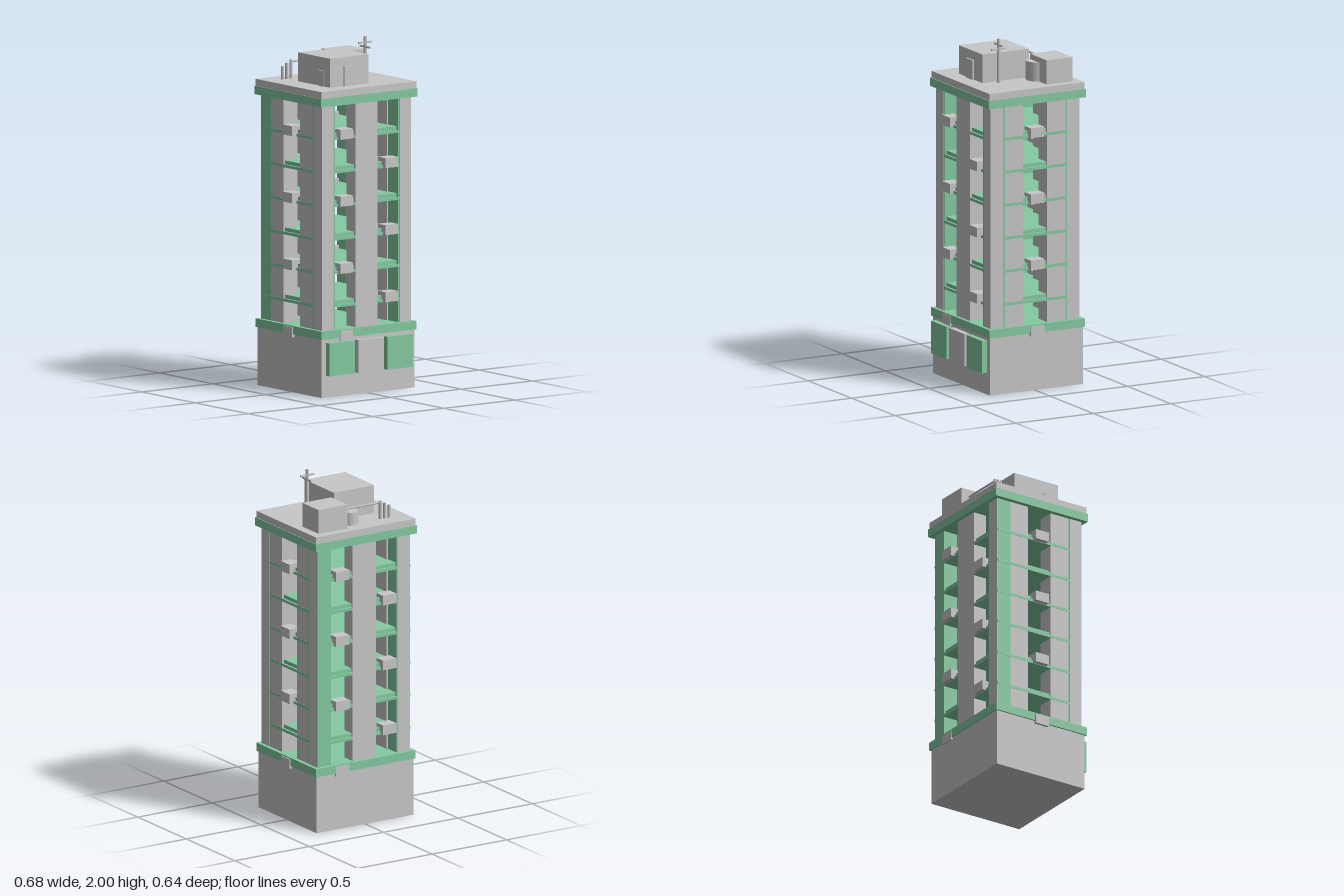
import * as THREE from 'three';

export function createModel() {
  const model = new THREE.Group();
  model.name = 'towerBlock';
  const grey = new THREE.MeshStandardMaterial({ color: 0xc8c8c8 });
  grey.name = 'concrete grey';
  const green = new THREE.MeshStandardMaterial({ color: 0x84caa2 });
  green.name = 'trim green';
  const ZC = -0.01; // depth centre of the tower

  function add(name, geometry, material, x, y, z) {
    const mesh = new THREE.Mesh(geometry, material);
    mesh.name = name;
    mesh.position.set(x, y, z);
    model.add(mesh);
    return mesh;
  }
  // Box given by its limits on each axis
  function box(name, material, x0, x1, y0, y1, z0, z1) {
    return add(name, new THREE.BoxGeometry(x1 - x0, y1 - y0, z1 - z0), material,
      (x0 + x1) / 2, (y0 + y1) / 2, (z0 + z1) / 2);
  }
  // Box centred on the tower axis, given by half width and half depth
  const plate = (name, material, hx, hz, y0, y1) =>
    box(name, material, -hx, hx, y0, y1, ZC - hz, ZC + hz);
  // Upright cylinder
  const post = (name, x, z, r, y0, y1, sides) =>
    add(name, new THREE.CylinderGeometry(r, r, y1 - y0, sides), grey, x, (y0 + y1) / 2, z);

  // Base, ledge, cornice and roof
  plate('base', grey, 0.326, 0.3, 0, 0.332);
  plate('ledge', green, 0.335, 0.308, 0.332, 0.38);
  plate('cornice', green, 0.339, 0.3125, 1.658, 1.706);
  plate('roofSlab', grey, 0.335, 0.3075, 1.706, 1.745);

  // Entrance panels
  box('leftShopPanel', green, 0.113, 0.293, 0.125, 0.312, 0.28, 0.322);
  box('rightShopPanel', green, -0.296, -0.116, 0.125, 0.312, 0.28, 0.322);
  box('entrance', grey, -0.09, 0.09, 0.125, 0.312, 0.28, 0.322);

  // Corner pillars: green core with a grey skin on the outer faces
  const W = 0.312, D = 0.286, Y0 = 0.38, Y1 = 1.658;
  const tall = Y1 - Y0, midY = (Y0 + Y1) / 2;
  for (const sx of [-1, 1]) for (const sz of [-1, 1]) {
    add('cornerPillar', new THREE.BoxGeometry(0.091, tall, 0.091), green,
      sx * (W - 0.0455), midY, ZC + sz * (D - 0.0455));
    const skinX = sx < 0 && sz < 0 ? -0.0015 : 0.0015;
    const skinZ = sx > 0 && sz < 0 ? -0.0015 : 0.0015;
    add('pillarSkin', new THREE.BoxGeometry(0.08, tall, 0.08), grey,
      sx * (W - 0.04 + skinX), midY, ZC + sz * (D - 0.04 + skinZ));
  }

  // Middle columns on front and back, pairs of wall panels on both sides
  for (const s of [-1, 1]) {
    add('middleColumn', new THREE.BoxGeometry(0.155, tall, 0.083), grey,
      -0.002, midY, ZC + s * (D + 0.002 - 0.0415));
    for (const t of [-1, 1]) {
      add('sidePanel', new THREE.BoxGeometry(0.1, tall, 0.117), grey,
        s * (W - 0.05), midY, ZC + t * 0.1365);
    }
  }

  // Floors with a thin edge band, and cooling units on alternating bays
  const unit = (x, y, z, alongX) => add('coolingUnit',
    new THREE.BoxGeometry(alongX ? 0.088 : 0.072, 0.057, alongX ? 0.072 : 0.088), grey, x, y + 0.031, z);
  for (let i = 0; i < 7; i++) {
    const y = 0.313 + i * 0.191;
    if (i > 0) {
      plate('floor', green, W - 0.012, D - 0.012, y, y + 0.037);
      plate('floorBand', green, W + 0.001, D + 0.001, y, y + 0.016);
    }
    const side = i % 2 ? 1 : -1;
    unit(side * 0.158, y, ZC + D - 0.01, true);
    unit(-side * 0.158, y, ZC - D + 0.01, true);
    if (i % 2 === 0) for (const s of [-1, 1]) unit(s * (W - 0.006), y, ZC, false);
  }

  // Roof houses and door
  const R = 1.745;
  box('liftHouse', grey, -0.197, 0.075, R, 1.91, -0.102, 0.197);
  box('roofDoor', grey, -0.103, -0.02, R, 1.858, 0.19, 0.207);
  box('plantRoom', grey, 0.09, 0.284, R, 1.885, -0.267, -0.1);

  // Water tanks
  post('largeTank', 0.137, -0.125, 0.068, R, 1.855, 20);
  post('smallTank', 0.026, -0.192, 0.048, R, 1.82, 20);
  post('sideTank', -0.154, 0.118, 0.053, R, 1.835, 20);

  // Vent pipes and the pipe run
  for (let i = 0; i < 3; i++) post('ventPipe', -0.224 + i * 0.0295, -0.213, 0.009, R, 1.82 + i * 0.016, 6);
  const run = add('pipeRun', new THREE.CylinderGeometry(0.006, 0.006, 0.265, 6), grey, -0.0325, 1.842, -0.213);
  run.rotation.z = Math.PI / 2;

  // Antenna mast with two crossbars
  post('mast', 0.113, 0.113, 0.009, R, 2, 8);
  box('crossbarX', grey, 0.067, 0.159, 1.96, 1.97, 0.108, 0.118);
  box('crossbarZ', grey, 0.108, 0.118, 1.935, 1.945, 0.067, 0.159);

  return model;
}
